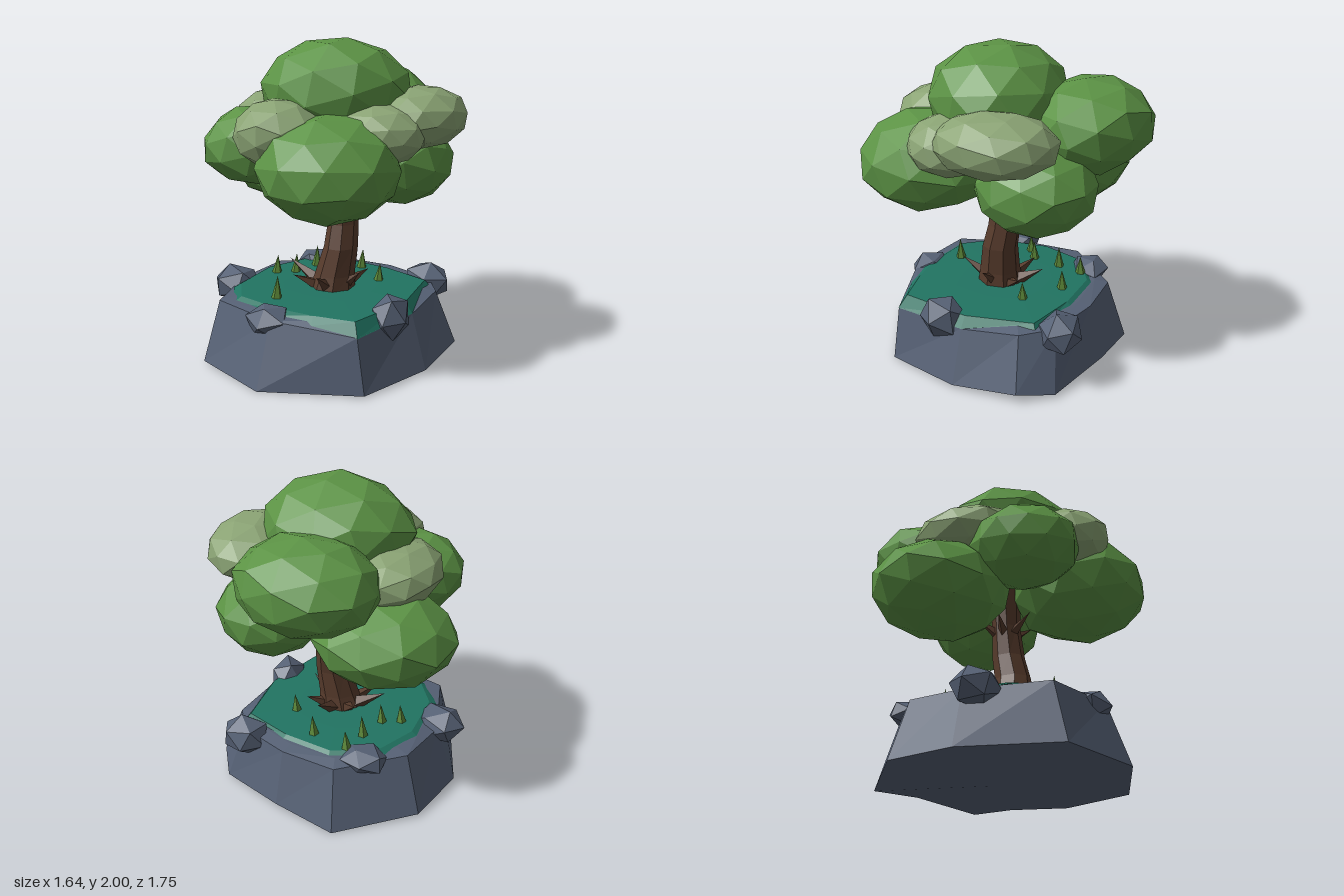
import * as THREE from 'three';
import { mergeVertices } from 'three/addons/utils/BufferGeometryUtils.js';

const V = (x, y, z) => new THREE.Vector3(x, y, z);
const UP = V(0, 1, 0);

const paint = (name, color) => {
  const m = new THREE.MeshStandardMaterial({ color, flatShading: true });
  m.name = name;
  return m;
};

// Small seeded generator for the irregular facets
function seeded(seed) {
  let s = seed * 7919 + 17;
  return () => (s = (s * 16807) % 2147483647) / 2147483647;
}

// Faceted, slightly uneven ellipsoid
function lump(c, r, detail, jitter, seed) {
  let g = new THREE.IcosahedronGeometry(1, detail);
  g.deleteAttribute('uv');
  g.deleteAttribute('normal');
  g = mergeVertices(g, 1e-3);
  const rnd = seeded(seed);
  for (let i = 0; i < 8; i++) rnd();
  g.rotateY(rnd() * 6);
  g.rotateX(rnd() * 6);
  const p = g.attributes.position;
  for (let i = 0; i < p.count; i++) {
    const k = 1.01 + (rnd() - 0.5) * 2 * jitter;
    p.setXYZ(i, p.getX(i) * k, p.getY(i) * k, p.getZ(i) * k);
  }
  g.scale(...r).translate(...c);
  g = g.toNonIndexed();
  g.computeVertexNormals();
  return g;
}

// Closed skin through rings of points, listed from bottom to top
function loft(rings) {
  const pos = [];
  const n = rings[0].length;
  const tri = (...pts) => pts.forEach((p) => pos.push(p.x, p.y, p.z));
  const mid = (ring) => ring.reduce((s, p) => s.add(p), V(0, 0, 0)).divideScalar(n);
  const low = rings[0], high = rings[rings.length - 1];
  const lowMid = mid(low), highMid = mid(high);
  for (let i = 0; i < n; i++) {
    const j = (i + 1) % n;
    for (let k = 0; k + 1 < rings.length; k++) {
      const a = rings[k], b = rings[k + 1];
      tri(a[i], b[i], a[j]);
      tri(a[j], b[i], b[j]);
    }
    tri(lowMid, low[i], low[j]);
    tri(highMid, high[j], high[i]);
  }
  const g = new THREE.BufferGeometry();
  g.setAttribute('position', new THREE.Float32BufferAttribute(pos, 3));
  g.computeVertexNormals();
  return g;
}

// Pointed cone from a base point to a tip
function spike(from, to, radius, sides) {
  const a = V(...from), d = V(...to).sub(a), len = d.length();
  const g = new THREE.ConeGeometry(radius, len, sides).translate(0, len / 2, 0);
  g.applyQuaternion(new THREE.Quaternion().setFromUnitVectors(UP, d.normalize()));
  return g.translate(a.x, a.y, a.z);
}

export function createModel() {
  const model = new THREE.Group();
  const leaf = paint('leaf green', 0x5c9345);
  const paleLeaf = paint('pale leaf green', 0x8aa374);
  const bark = paint('bark brown', 0x573b2c);
  const stone = paint('slate stone', 0x566175);
  const turf = paint('teal turf', 0x217462);
  const blade = paint('grass blade green', 0x5d8839);
  const add = (name, geometry, material) => {
    const m = new THREE.Mesh(geometry, material);
    m.name = name;
    model.add(m);
  };
  const points = (list) => list.map((p) => V(...p));

  // Rock base: ten-sided foot, uneven rim, then a flat cap
  const foot = points([[0.715, 0.02, 0.12], [0.54, 0.01, 0.6], [-0.05, 0, 0.83], [-0.55, 0.02, 0.66],
    [-0.77, 0.01, 0.1], [-0.69, 0.02, -0.35], [-0.26, 0, -0.72], [0.15, 0.05, -0.67],
    [0.6, 0.02, -0.5], [0.74, 0.06, -0.3]]);
  const rim = points([[0.61, 0.36, 0.1], [0.48, 0.35, 0.58], [-0.04, 0.395, 0.69], [-0.49, 0.4, 0.56],
    [-0.64, 0.38, 0.08], [-0.58, 0.4, -0.29], [-0.22, 0.39, -0.6], [0.14, 0.4, -0.58],
    [0.48, 0.4, -0.46], [0.61, 0.39, -0.27]]);
  const cap = rim.map((p) => V(p.x * 0.86, 0.41, p.z * 0.86));
  add('rockBase', loft([foot, rim, cap]), stone);

  // Turf sheet draped over the rock, hanging lower at the front left corner
  const hem = points([[0.61, 0.36, 0.1], [0.483, 0.345, 0.582], [0.2, 0.385, 0.62], [-0.05, 0.405, 0.62],
    [-0.4, 0.395, 0.54], [-0.55, 0.4, 0.32], [-0.57, 0.4, -0.08], [-0.44, 0.4, -0.38],
    [-0.15, 0.4, -0.52], [0.2, 0.4, -0.48], [0.55, 0.37, -0.36]]);
  const sward = hem.map((p) => V(p.x * 0.92, 0.428, p.z * 0.92));
  const crest = hem.map((p) => V(p.x * 0.5, 0.436, p.z * 0.5));
  add('turf', loft([hem, sward, crest]), turf);

  // Boulders around the rim
  [
    [[-0.63, 0.375, 0.16], [0.17, 0.12, 0.15]],
    [[-0.09, 0.36, 0.61], [0.15, 0.11, 0.13]],
    [[0.53, 0.38, 0.25], [0.12, 0.145, 0.15]],
    [[0.46, 0.375, -0.48], [0.16, 0.13, 0.14]],
    [[-0.35, 0.4, -0.43], [0.15, 0.085, 0.13]],
  ].forEach(([c, r], i) => add('boulder', lump(c, r, 0, 0.07, 60 + i), stone));

  // Trunk: leaning eight-sided rings [y, x, z, radius x, radius z]
  const trunk = [[0.4, 0.03, 0.06, 0.15, 0.15], [0.52, 0.05, 0.055, 0.125, 0.13],
    [0.7, 0.085, 0.04, 0.105, 0.115], [0.85, 0.085, 0.01, 0.095, 0.105],
    [1.05, 0.075, 0, 0.095, 0.09], [1.35, 0.05, 0, 0.1, 0.1]];
  add('trunk', loft(trunk.map(([y, x, z, rx, rz]) => Array.from({ length: 8 }, (_, i) => {
    const a = (i / 8) * Math.PI * 2 + 0.3;
    return V(x + Math.cos(a) * rx, y, z + Math.sin(a) * rz);
  }))), bark);

  // Root spikes fanning out at the foot of the trunk
  [[-0.28, 0.57, 0.06], [0.25, 0.565, 0.1], [0.06, 0.56, 0.31], [0.06, 0.56, -0.24],
    [-0.16, 0.52, 0.22], [0.2, 0.52, -0.12], [-0.14, 0.53, -0.12]].forEach((tip) =>
    add('root', spike([0.03 + (tip[0] - 0.03) * 0.2, 0.42, 0.05 + (tip[2] - 0.05) * 0.2], tip, 0.06, 4), bark));

  // Short branches under the crown
  [[-0.12, 1.08, 0.04], [0, 1.1, 0.2], [0.24, 1.1, 0.1], [0.18, 1.1, -0.17], [-0.06, 1.1, -0.14]]
    .forEach((tip) => add('branch', spike([0.07, 0.97, 0], tip, 0.05, 4), bark));

  // Grass blades
  [[0.25, -0.17], [0.03, -0.36], [-0.16, 0.42], [-0.42, 0], [-0.31, -0.06], [-0.26, -0.25], [-0.22, -0.41]]
    .forEach(([x, z], i) =>
      add('grassBlade', spike([x, 0.42, z], [x + 0.01, 0.55 + (i % 3) * 0.012, z], 0.036, 5), blade));

  // Crown: overlapping leaf clumps [centre, radii]
  [
    [[0.05, 1.68, 0.05], [0.48, 0.32, 0.43]],
    [[-0.01, 1.545, -0.5], [0.44, 0.28, 0.38]],
    [[0.22, 1.285, 0.45], [0.43, 0.315, 0.43]],
    [[-0.38, 1.175, -0.23], [0.44, 0.285, 0.43]],
    [[-0.34, 1.36, 0.33], [0.33, 0.24, 0.34]],
    [[0.33, 1.23, -0.27], [0.34, 0.28, 0.37]],
  ].forEach(([c, r], i) => add('leafClump', lump(c, r, 1, 0.03, 3 + i), leaf));
  [
    [[-0.08, 1.475, 0.5], [0.27, 0.205, 0.27]],
    [[0.54, 1.54, -0.1], [0.28, 0.19, 0.37]],
    [[0.42, 1.47, 0.2], [0.28, 0.18, 0.28]],
    [[-0.35, 1.5, -0.04], [0.29, 0.18, 0.37]],
  ].forEach(([c, r], i) => add('paleLeafClump', lump(c, r, 1, 0.03, 20 + i), paleLeaf));

  return model;
}
